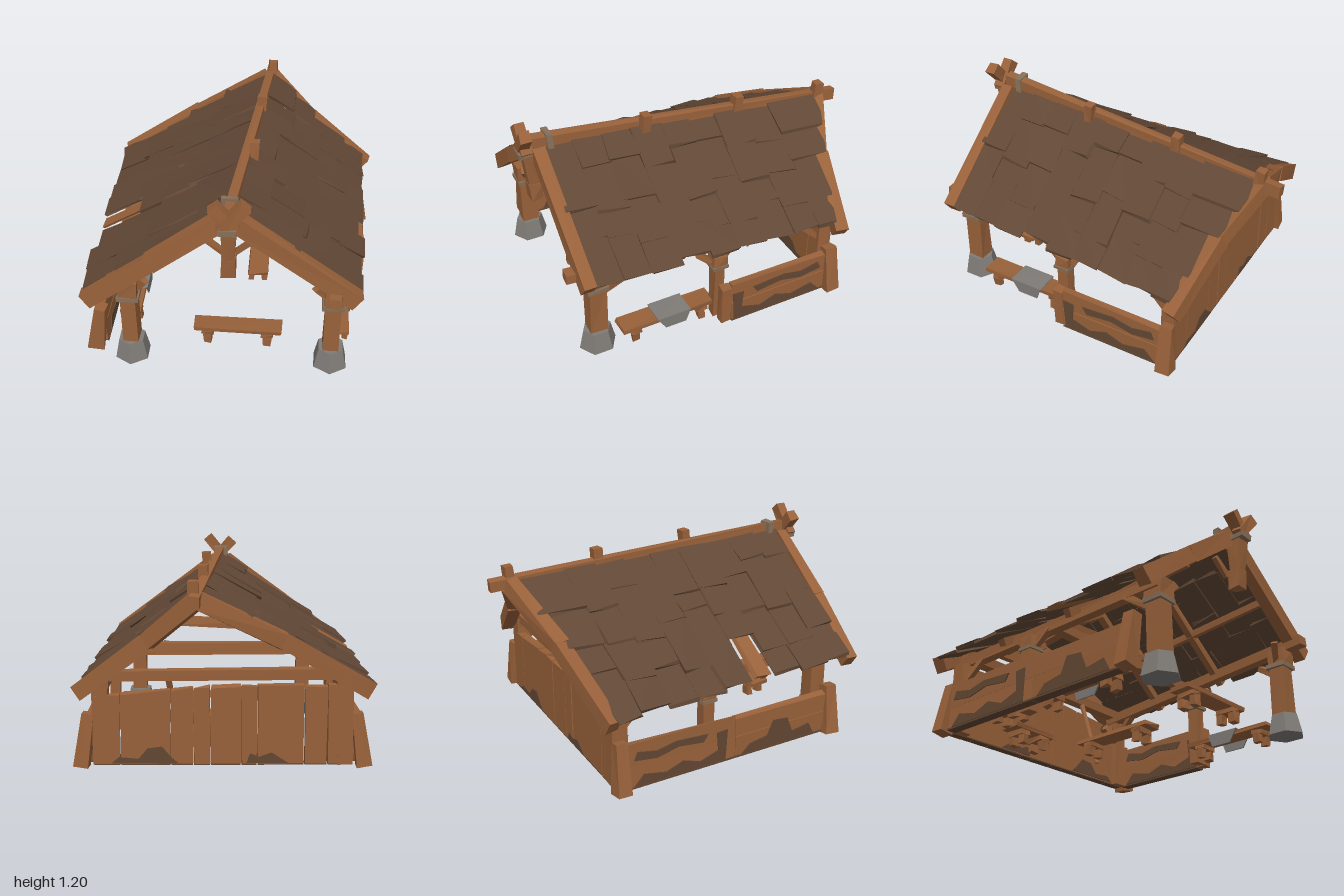
import * as THREE from 'three';

const mat = (name, color) => {
  const m = new THREE.MeshStandardMaterial({ color, flatShading: true });
  m.name = name;
  return m;
};

export function createModel() {
  const wood = mat('wood', 0x98613a), bark = mat('roof wood', 0x624836);
  const dirt = mat('dirt', 0x634733), stone = mat('stone', 0x7f7b77), rope = mat('rope', 0x87705a);
  const model = new THREE.Group();
  let seed = 7;
  const rnd = (a = -1, b = 1) => {
    seed = (seed * 16807) % 2147483647;
    return a + (b - a) * (seed / 2147483647);
  };
  const V = (x, y, z) => new THREE.Vector3(x, y, z);
  const group = name => {
    const g = new THREE.Group();
    g.name = name;
    model.add(g);
    return g;
  };
  const add = (parent, name, geo, m) => {
    const mesh = new THREE.Mesh(geo, m);
    mesh.name = name;
    parent.add(mesh);
    return mesh;
  };

  // Box whose eight corners are placed by a rule of (i, j, k), each 0 or 1
  const hexa = (parent, name, rule, m) => {
    const geo = new THREE.BoxGeometry(1, 1, 1), p = geo.attributes.position;
    const cache = {};
    for (let n = 0; n < p.count; n++) {
      const c = [p.getX(n), p.getY(n), p.getZ(n)].map(v => (v > 0 ? 1 : 0));
      const v = (cache[c] ??= rule(...c));
      p.setXYZ(n, v.x, v.y, v.z);
    }
    geo.computeVertexNormals();
    return add(parent, name, geo, m);
  };
  // Axis-aligned block with roughly hewn corners
  const block = (parent, name, x0, x1, y0, y1, z0, z1, m = wood, j = 0.006) =>
    hexa(parent, name, (a, b, c) => V((a ? x1 : x0) + rnd() * j, Math.max(0, (b ? y1 : y0) + rnd() * j), (c ? z1 : z0) + rnd() * j), m);
  // Rope binding wrapped round an upright of half-width r
  const binding = (parent, x, y, z, r, h) => block(parent, 'ropeBinding', x - r, x + r, y - h / 2, y + h / 2, z - r, z + r, rope, 0.002);
  // Hewn beam between two points: w across, h upward, narrowing to taper at b
  const beam = (parent, name, a, b, w, h, upHint = V(0, 1, 0), taper = 1) => {
    const d = b.clone().sub(a).normalize();
    const side = new THREE.Vector3().crossVectors(upHint, d).normalize();
    const up = new THREE.Vector3().crossVectors(d, side);
    return hexa(parent, name, (i, k, l) => (l ? b : a).clone()
      .addScaledVector(side, (i - 0.5) * w * (l ? taper : 1) + rnd() * 0.006)
      .addScaledVector(up, (k - 0.5) * h * (l ? taper : 1) + rnd() * 0.006), wood);
  };
  const Z = V(0, 0, 1);

  // Front posts on stone footings
  const posts = group('posts');
  for (const s of [-1, 1]) {
    const x = s * 0.57;
    const foot = add(posts, 'stoneFooting', new THREE.CylinderGeometry(0.088, 0.118, 0.125, 6), stone);
    foot.position.set(x, 0.0625, 0.81);
    foot.scale.set(0.9, 1, 0.94);
    block(posts, 'frontPost', x - 0.047, x + 0.047, 0.1, 0.44, 0.755, 0.86);
    block(posts, 'frontPostHead', x - 0.053, x + 0.053, 0.44, 0.55, 0.75, 0.865);
    binding(posts, x, 0.435, 0.8075, 0.062, 0.026);
    const zm = s > 0 ? 0.09 : -0.04;
    block(posts, 'middlePost', s * 0.67 - 0.035, s * 0.67 + 0.035, 0.015, 0.4, zm - 0.035, zm + 0.035);
    block(posts, 'middlePostHead', s * 0.67 - 0.042, s * 0.67 + 0.042, 0.38, 0.46, zm - 0.042, zm + 0.042);
    binding(posts, s * 0.67, 0.385, zm, 0.049, 0.02);
    block(posts, 'rearPost', s * 0.68 - 0.045, s * 0.68 + 0.045, 0.015, 0.45, -0.66, -0.57);
    // Diagonal braces under the eaves
    beam(posts, 'frontBrace', V(s * 0.59, 0.4, 0.77), V(s * 0.63, 0.5, 0.63), 0.035, 0.035);
    beam(posts, 'middleBrace', V(s * 0.67, 0.38, zm), V(s * 0.65, 0.49, zm + 0.12), 0.03, 0.03);
    beam(posts, 'middleBrace', V(s * 0.67, 0.38, zm), V(s * 0.65, 0.49, zm - 0.12), 0.03, 0.03);
    beam(posts, 'rearBrace', V(s * 0.68, 0.34, -0.6), V(s * 0.66, 0.47, -0.46), 0.035, 0.035);
    beam(posts, 'gableBrace', V(s * 0.54, 0.46, 0.8), V(s * 0.47, 0.56, 0.84), 0.035, 0.035);
  }
  beam(posts, 'eaveBeam', V(0.575, 0.565, 0.975), V(0.66, 0.48, -0.66), 0.06, 0.06);
  beam(posts, 'eaveBeam', V(-0.61, 0.52, 0.85), V(-0.66, 0.48, -0.66), 0.06, 0.06);

  // Roof lines by course r and slope t (0 ridge, 1 eave); only the last course fans out
  const ROWS = 9;
  const slope = (s, r, t) => {
    const front = 0.87, last = THREE.MathUtils.lerp(-0.88, s < 0 ? -0.68 : -0.64, t);
    const f = r / (ROWS - 1);
    const z = f <= 1 ? THREE.MathUtils.lerp(front, -0.53, f) : THREE.MathUtils.lerp(-0.53, last, r - ROWS + 1);
    const u = (front - z) / 1.74, e = Math.min(1, (front - z) / 1.54);
    const top = V(0.14 * u, 1.045 - 0.075 * u, z);
    return top.lerp(s < 0 ? V(-0.8, 0.475 - 0.015 * e, z) : V(0.685 + 0.085 * e, 0.535 - 0.08 * e, z), t);
  };

  // Rough boards laid in overlapping courses
  const roof = group('roof');
  for (const s of [-1, 1]) {
    const n = s < 0 ? V(-0.55, 0.83, 0) : V(0.57, 0.82, 0);
    for (let r = 0; r < ROWS; r++) {
      const cuts = [0, 0.27 + rnd() * 0.09, 0.52 + rnd() * 0.08, 0.77 + rnd() * 0.07, 0.995 + rnd() * 0.025];
      for (let c = 0; c < 4; c++) {
        const t0 = Math.max(0, cuts[c] - 0.06), t1 = cuts[c + 1];
        const lift = rnd(0.002, 0.019);
        const patch = s < 0 && r === 3 && c === 3;
        const board = hexa(roof, patch ? 'patchBoard' : 'roofBoard', (i, k, l) => {
          const t = (i ? t1 : t0) + rnd() * 0.015;
          const inset = patch ? 0.25 : -0.02;
          const row = THREE.MathUtils.clamp((l ? r + inset : r + 1 - inset) + rnd() * 0.07, 0, ROWS);
          return slope(s, row, t).addScaledVector(n, (k ? 0.02 : 0) + (i ? lift + 0.012 : lift - 0.006) + rnd() * 0.005);
        }, patch ? wood : bark);
        // The mirrored slope needs its faces turned outward
        if (s < 0) {
          const ix = board.geometry.index.array;
          for (let q = 0; q < ix.length; q += 3) [ix[q], ix[q + 1]] = [ix[q + 1], ix[q]];
          board.geometry.computeVertexNormals();
        }
      }
    }
    // Inner rafters and purlins
    const under = (r, t) => slope(s, r, t).addScaledVector(n, -0.032);
    for (const r of [3.2, 6.2]) beam(roof, 'innerRafter', under(r, 0.02), under(r, 0.95), 0.045, 0.045);
    beam(roof, 'purlin', under(0.1, 0.5), under(8.8, 0.5), 0.04, 0.04);
  }

  // Ridge pole with pegs
  beam(roof, 'ridgePole', V(0, 1.08, 0.92), V(0.15, 0.965, -0.99), 0.05, 0.065);
  for (const [x, y, z] of [[0.09, 1.055, 0.265], [0.105, 1.03, -0.325], [0.155, 1.0, -0.86]])
    beam(roof, 'ridgePeg', V(x, y - 0.07, z), V(x + 0.005, y + 0.07, z - 0.01), 0.055, 0.055, Z);
  block(roof, 'ropeBinding', -0.045, 0.05, 1.03, 1.118, 0.8, 0.835, rope);

  // Front gable: barge boards, crossed finials and hanging king post
  const front = group('frontGable');
  beam(front, 'leftBarge', V(0.03, 1.025, 0.89), V(0.695, 0.525, 0.885), 0.07, 0.095);
  beam(front, 'rightBarge', V(-0.03, 1.025, 0.89), V(-0.43, 0.735, 0.9), 0.07, 0.095);
  beam(front, 'rightBarge', V(-0.42, 0.74, 0.9), V(-0.8, 0.458, 0.885), 0.07, 0.095);
  beam(front, 'finial', V(-0.04, 1.02, 0.97), V(0.095, 1.175, 0.97), 0.06, 0.065);
  beam(front, 'finial', V(0.04, 1.02, 0.955), V(-0.08, 1.155, 0.955), 0.06, 0.065);
  block(front, 'ropeBinding', -0.045, 0.045, 1.0, 1.04, 0.89, 1.0, rope, 0.004);
  beam(front, 'kingPost', V(0, 1.01, 0.935), V(0, 0.8, 0.925), 0.085, 0.085, Z, 0.72);
  block(front, 'kingPostFoot', -0.036, 0.036, 0.7, 0.81, 0.885, 0.955);
  for (const s of [-1, 1]) beam(front, 'kingBrace', V(s * 0.02, 0.79, 0.86), V(s * 0.12, 0.88, 0.86), 0.03, 0.03);

  // Rear gable: bowed barge boards in two lengths
  const back = group('rearGable');
  const bows = [
    [V(0.14, 0.965, -0.88), V(0.42, 0.72, -0.75), V(0.8, 0.435, -0.665)],
    [V(0.13, 0.965, -0.87), V(-0.33, 0.73, -0.77), V(-0.805, 0.445, -0.69)],
  ];
  for (const [a, b, c] of bows) {
    beam(back, 'rearBarge', a, b, 0.075, 0.09);
    beam(back, 'rearBarge', b.clone().lerp(a, 0.03), c, 0.08, 0.09);
  }
  // Tie and collar beams
  const ties = group('tieBeams');
  beam(ties, 'rearTie', V(-0.68, 0.53, -0.62), V(0.68, 0.515, -0.62), 0.06, 0.06);
  beam(ties, 'middleTie', V(-0.62, 0.535, 0.05), V(0.62, 0.525, 0.05), 0.06, 0.05);
  beam(ties, 'rearCollar', V(-0.38, 0.68, -0.68), V(0.47, 0.685, -0.68), 0.05, 0.06);
  beam(ties, 'middleCollar', V(-0.34, 0.715, -0.15), V(0.4, 0.76, -0.15), 0.05, 0.055);
  beam(ties, 'rearStrut', V(-0.3, 0.7, -0.68), V(0.12, 0.92, -0.78), 0.04, 0.045);

  // Rear wall of upright planks
  const wall = group('rearWall');
  const edges = [-0.72, -0.58, -0.45, -0.19, -0.1, 0.07, 0.165, 0.29, 0.57, 0.72];
  for (let i = 0; i < edges.length - 1; i++) {
    const x0 = edges[i] + 0.003, x1 = edges[i + 1] - 0.003, zo = -0.635 + rnd() * 0.004;
    hexa(wall, 'wallPlank', (a, b, c) => {
      const x = a ? x1 : x0;
      return V(x + rnd() * 0.004, b ? 0.462 - Math.max(0, x) * 0.08 + rnd() * 0.008 : 0.02, zo + (c ? 0.024 : -0.024));
    }, wood);
    block(wall, 'muddyFoot', x0, x1, 0.013, 0.02, -0.66, -0.61, dirt, 0);
  }

  // Irregular stain as a thin plate from an outline, set across z or across x
  const stain = (parent, pts, at, acrossX = false) => {
    const shape = new THREE.Shape(pts.map(p => new THREE.Vector2(...p)));
    const mesh = add(parent, 'stain', new THREE.ExtrudeGeometry(shape, { depth: 0.006, bevelEnabled: false }), dirt);
    if (acrossX) mesh.rotation.y = -Math.PI / 2;
    mesh.position[acrossX ? 'x' : 'z'] = at;
  };
  for (const z of [-0.61, -0.666]) {
    stain(wall, [[-0.36, 0.025], [-0.13, 0.025], [-0.15, 0.08], [-0.2, 0.06], [-0.27, 0.085], [-0.33, 0.045]], z);
    stain(wall, [[0.25, 0.025], [0.62, 0.025], [0.58, 0.06], [0.47, 0.05], [0.42, 0.11], [0.34, 0.12], [0.29, 0.06]], z);
  }

  // Low side walls of horizontal boards with leaning end planks
  for (const s of [-1, 1]) {
    const side = group(s > 0 ? 'leftSideWall' : 'rightSideWall');
    const x = s * 0.755, lengths = s > 0 ? [-0.6, 0.05] : [-0.6, 0.1, 0.75];
    for (let i = 0; i < lengths.length - 1; i++) {
      const z0 = lengths[i], z1 = lengths[i + 1] - 0.004;
      block(side, 'lowerBoard', x - 0.022, x + 0.022, 0.022, 0.148, z0, z1, wood, 0.003);
      hexa(side, 'upperBoard', (a, b, c) => V(x + (a ? 0.02 : -0.02), b ? 0.275 + rnd() * 0.018 : 0.15, c ? z1 : z0), wood);
      block(side, 'muddyFoot', x - 0.03, x + 0.03, 0.013, 0.023, z0, z1, dirt, 0);
    }
    if (s > 0) block(side, 'wallEndPost', x - 0.03, x + 0.022, 0.015, 0.27, 0.045, 0.11);
    for (const z of s > 0 ? [-0.64] : [-0.64, 0.77])
      beam(side, 'leaningPlank', V(s * 0.79, 0.005, z), V(s * 0.745, 0.305, z + 0.01), 0.09, 0.09, V(1, 0, 0), 0.75);
    for (const px of [x + 0.03, x - 0.024]) {
      stain(side, [[-0.56, 0.025], [0.03, 0.025], [0.04, 0.22], [-0.03, 0.215], [-0.02, 0.1], [-0.14, 0.06], [-0.25, 0.1], [-0.36, 0.06], [-0.5, 0.09]], px, true);
      stain(side, [[-0.56, 0.19], [-0.42, 0.17], [-0.28, 0.2], [-0.12, 0.18], [-0.09, 0.225], [-0.3, 0.24], [-0.42, 0.215], [-0.54, 0.24]], px, true);
      if (s < 0) stain(side, [[0.14, 0.025], [0.66, 0.025], [0.62, 0.1], [0.5, 0.08], [0.46, 0.18], [0.36, 0.19], [0.32, 0.1], [0.2, 0.08]], px, true);
    }
  }

  // Benches: a plank seat on paired block legs
  const bench = (name, x, z, len, yaw) => {
    const b = group(name);
    block(b, 'seat', -len / 2, len / 2, 0.095, 0.12, -0.06, 0.06);
    for (const e of [-1, 1]) {
      const lx = e * (len / 2 - 0.08);
      block(b, 'legRail', lx - 0.035, lx + 0.035, 0.065, 0.095, -0.055, 0.055);
      for (const f of [-1, 1]) block(b, 'leg', lx - 0.025, lx + 0.025, 0.012, 0.07, f * 0.04 - 0.018, f * 0.04 + 0.018);
    }
    b.position.set(x, 0, z);
    b.rotation.y = yaw;
    return b;
  };
  bench('frontBench', 0.03, 0.66, 0.51, -0.02);
  bench('innerBench', 0.12, -0.1, 0.55, Math.PI / 2);
  bench('rearBench', -0.26, -0.48, 0.32, 0.03);
  bench('rightCornerBench', -0.64, -0.22, 0.3, Math.PI / 2);
  for (const s of [-1, 1]) {
    const b = bench(s > 0 ? 'leftBench' : 'rightBench', s * 0.62, s > 0 ? 0.4 : 0.31, 0.58, Math.PI / 2);
    // Worn grey cloth hanging over the seat
    block(b, 'cloth', -0.08, 0.13, 0.122, 0.13, -0.067, 0.068, stone, 0.002);
    for (const f of [-1, 1])
      hexa(b, 'clothFlap', (i, k, l) => V(i ? 0.13 - (k ? 0 : 0.03) : -0.08 + (k ? 0 : 0.05), k ? 0.13 : 0.05, f * 0.07 + (l - 0.5) * 0.008), stone);
  }

  // Firewood, a leaning plank and a loose slate on the beam
  const clutter = group('clutter');
  for (let i = 0; i < 5; i++) {
    const lump = add(clutter, 'woodChunk', new THREE.DodecahedronGeometry(0.033 + rnd(0, 0.01), 0), i % 2 ? dirt : wood);
    lump.position.set(0.1 + i * 0.027, 0.145 + (i % 2) * 0.025, -0.2 + rnd() * 0.04);
    lump.rotation.set(i, i * 2, 0);
  }
  beam(clutter, 'leaningPlank', V(0.24, 0.02, -0.38), V(0.3, 0.48, -0.58), 0.03, 0.02);
  hexa(clutter, 'slate', (i, k, l) => V(i ? 0.36 : 0.21, (i ? 0.585 : 0.56) + (k ? 0.015 : 0) - (l ? 0.03 : 0), l ? 0.13 : 0.02), stone);
  return model;
}
